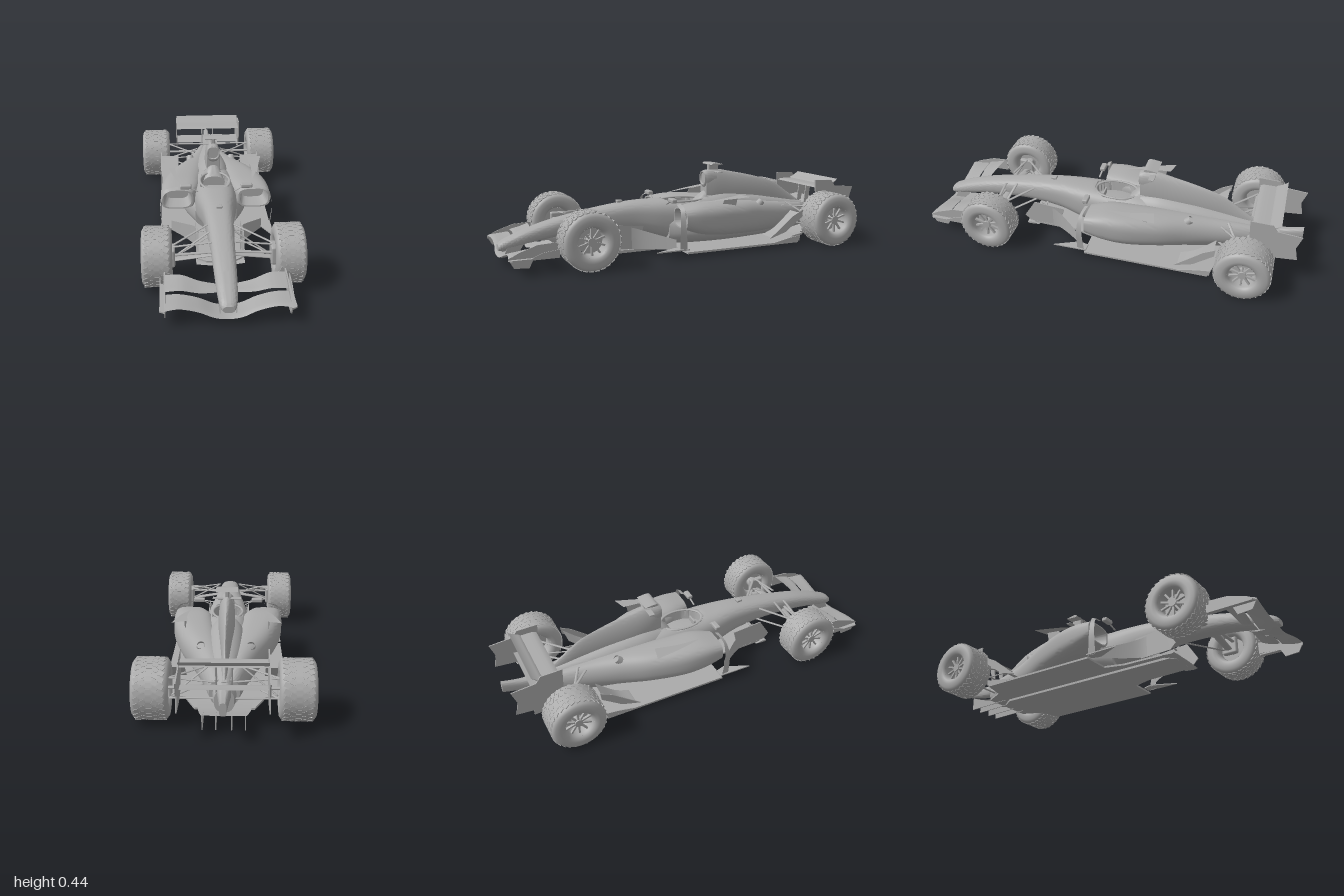
import * as THREE from 'three';
import { mergeGeometries, toCreasedNormals } from 'three/addons/utils/BufferGeometryUtils.js';
import { RoundedBoxGeometry } from 'three/addons/geometries/RoundedBoxGeometry.js';

const grey = new THREE.MeshStandardMaterial({ color: 0xaaaaaa, side: THREE.DoubleSide });
grey.name = 'plainGrey';
const V = (x, y, z) => new THREE.Vector3(x, y, z);

// smooth interpolation through a list of equal-length number rows
function sample(rows, n) {
  const out = [], last = rows.length - 1, at = i => rows[Math.min(last, Math.max(0, i))];
  for (let k = 0; k <= n; k++) {
    const f = k / n * last, i = Math.min(last - 1, Math.floor(f)), t = f - i;
    out.push(rows[0].map((_, c) => {
      const [a, b, d, e] = [at(i - 1)[c], at(i)[c], at(i + 1)[c], at(i + 2)[c]];
      return b + 0.5 * t * (d - a + t * (2 * a - 5 * b + 4 * d - e + t * (3 * (b - d) + e - a)));
    }));
  }
  return out;
}

// surface through rings of points; closed rings get end caps
function skin(rings, closed) {
  const m = rings[0].length, pos = [], idx = [];
  rings.flat().forEach(p => pos.push(p.x, p.y, p.z));
  for (let i = 0; i < rings.length - 1; i++) {
    for (let j = 0; j < (closed ? m : m - 1); j++) {
      const a = i * m + j, b = i * m + (j + 1) % m;
      idx.push(a, a + m, b, b, a + m, b + m);
    }
  }
  if (closed) {
    [0, rings.length - 1].forEach((r, end) => {
      const c = rings[r].reduce((s, p) => s.add(p), V(0, 0, 0)).divideScalar(m);
      const k = pos.push(c.x, c.y, c.z) / 3 - 1;
      for (let j = 0; j < m; j++) {
        const a = r * m + j, b = r * m + (j + 1) % m;
        idx.push(k, end ? b : a, end ? a : b);
      }
    });
  }
  const g = new THREE.BufferGeometry();
  g.setAttribute('position', new THREE.Float32BufferAttribute(pos, 3));
  g.setIndex(idx);
  return toCreasedNormals(g, 0.7);
}

// body shell from sections [z, halfWidth, bottom, top, roundness, centreX], front to back
function loft(sections, { n = 40, inlet = 0, rule } = {}) {
  const rows = sample(sections, n);
  const ring = ([z, w, yb, yt, e, cx = 0], k = 1, dz = 0) => Array.from({ length: 48 }, (_, j) => {
    const a = j / 48 * Math.PI * 2, c = Math.cos(a), s = Math.sin(a);
    const p = V(cx + k * w * Math.sign(c) * Math.abs(c) ** e,
      (yb + yt) / 2 + k * (yt - yb) / 2 * Math.sign(s) * Math.abs(s) ** Math.min(e, 1), z - dz);
    if (rule) rule(p, (yb + yt) / 2);
    return p;
  });
  const rings = rows.map(r => ring(r));
  if (inlet) rings.unshift(ring(rows[0], 0.7, inlet), ring(rows[0], 0.88));
  return skin(rings, true);
}

// aerofoil from stations [x, y, leadingZ, trailingZ, rise]
function wing(stations, thick = 0.006, n = 24) {
  return skin(sample(stations, n).map(([x, y, z0, z1, rise]) => Array.from({ length: 16 }, (_, j) => {
    const u = j <= 8 ? j / 8 : (16 - j) / 8;
    const t = thick * Math.sin(Math.PI * Math.sqrt(u)) * (j <= 8 ? 1 : -0.6);
    return V(x, y + rise * u ** 1.6 + t, z0 + (z1 - z0) * u);
  })), true);
}
const mirrored = half => [...half.slice(1).reverse().map(([x, ...r]) => [-x, ...r]), ...half];

function extrude(pts, t) {
  const shape = new THREE.Shape(pts.map(p => new THREE.Vector2(p[0], p[1])));
  return new THREE.ExtrudeGeometry(shape, { depth: t, bevelEnabled: false });
}
const upright = (pts, x, t = 0.006) => extrude(pts, t).rotateY(-Math.PI / 2).translate(x + t / 2, 0, 0); // [z, y]
const flat = (pts, y, t = 0.008) => extrude(pts, t).rotateX(Math.PI / 2).translate(0, y, 0); // [x, z]
// curved thin sheet between two edges of [x, y, z] points
function sheet(edgeA, edgeB, n = 14) {
  const a = sample(edgeA, n), b = sample(edgeB, n);
  return skin(a.map((p, i) => [V(...p), V(...b[i])]), false);
}
function rod(a, b, r = 0.005, flatness = 0.5) {
  const p = V(...a), d = V(...b).sub(p);
  const g = new THREE.CylinderGeometry(r, r, d.length(), 10).scale(1, 1, flatness);
  const x = d.clone().normalize(), side = V(0, 0, 1).addScaledVector(x, -x.z).normalize();
  g.applyMatrix4(new THREE.Matrix4().makeBasis(side, x, side.clone().cross(x)));
  return g.translate(...p.addScaledVector(d, 0.5).toArray());
}
const box = (w, h, d, x, y, z) => new RoundedBoxGeometry(w, h, d, 2, Math.min(w, h, d) * 0.3).translate(x, y, z);

// tyre, tread blocks, rim and spokes; axle along x, outer face toward +x
function wheelParts(h) {
  const half = [[0.074, h - 0.012], [0.082, h - 0.002], [0.1, h], [0.122, h - 0.002], [0.134, h - 0.01], [0.1395, h - 0.024], [0.1412, h - 0.04]];
  const pts = [...half.map(([r, y]) => [r, -y]), ...half.slice().reverse()].map(p => new THREE.Vector2(...p));
  const turn = g => g.rotateZ(-Math.PI / 2);
  const tread = [];
  for (let i = 0; i < 30; i++) {
    for (let k = -2; k <= 2; k++) {
      tread.push(new THREE.BoxGeometry(h * 0.29, 0.004, 0.022).rotateY(Math.sign(k) * 0.45)
        .translate(k * h * 0.32, 0.1402, 0).rotateX((i + Math.abs(k) * 0.4) / 30 * Math.PI * 2));
    }
  }
  const rimPts = [[0.074, h - 0.012], [0.068, h - 0.02], [0.064, 0.01], [0.068, -h + 0.02], [0.074, -h + 0.012]].reverse();
  const rim = [new THREE.LatheGeometry(rimPts.map(p => new THREE.Vector2(...p)), 40),
    new THREE.CylinderGeometry(0.02, 0.026, 0.035, 20).translate(0, h - 0.04, 0),
    new THREE.CylinderGeometry(0.063, 0.063, 0.03, 32).translate(0, -0.01, 0)].map(turn);
  for (let i = 0; i < 10; i++) {
    rim.push(new THREE.BoxGeometry(0.012, 0.05, 0.009).translate(h - 0.034, 0.043, 0).rotateX(i / 10 * Math.PI * 2));
  }
  return { tyre: turn(new THREE.LatheGeometry(pts, 64)), tread: mergeGeometries(tread), rim: mergeGeometries(rim) };
}

export function createModel() {
  const car = new THREE.Group();
  car.name = 'racingCar';
  const add = (name, geometry, parent = car) => {
    const m = new THREE.Mesh(geometry, grey);
    m.name = name;
    parent.add(m);
    return m;
  };

  // nose and tub, with the cockpit pressed into the top
  const sink = (p, mid) => {
    const d = Math.abs(p.x / 0.08) ** 2.4 + Math.abs(p.z / 0.12) ** 2.4;
    if (p.y > mid && d < 1) p.y = THREE.MathUtils.lerp(0.14, p.y, THREE.MathUtils.smoothstep(d, 0.8, 1));
  };
  add('noseAndTub', loft([
    [0.992, 0.026, 0.068, 0.1, 0.8], [0.97, 0.037, 0.068, 0.118, 0.8], [0.92, 0.044, 0.075, 0.14, 0.8], [0.86, 0.048, 0.088, 0.163, 0.8],
    [0.74, 0.053, 0.11, 0.198, 0.75], [0.6, 0.058, 0.122, 0.226, 0.72], [0.45, 0.068, 0.125, 0.25, 0.7],
    [0.3, 0.082, 0.11, 0.266, 0.7], [0.16, 0.104, 0.07, 0.268, 0.7], [0.02, 0.115, 0.03, 0.265, 0.7],
    [-0.12, 0.115, 0.03, 0.265, 0.75], [-0.24, 0.11, 0.03, 0.255, 0.9]], { n: 130, rule: sink }));
  add('cockpitRim', new THREE.TorusGeometry(1, 0.08, 10, 48).rotateX(Math.PI / 2).scale(0.08, 0.06, 0.12).translate(0, 0.255, 0));
  add('steeringWheel', box(0.06, 0.03, 0.01, 0, 0.225, 0.07));
  add('noseSensor', box(0.03, 0.012, 0.03, 0, 0.27, 0.36));

  // engine cover: low hump, tall thin fin and air intake
  add('engineCover', loft([
    [-0.14, 0.085, 0.1, 0.275, 1], [-0.25, 0.095, 0.1, 0.285, 1.1], [-0.42, 0.085, 0.1, 0.262, 1.1],
    [-0.58, 0.065, 0.1, 0.23, 1], [-0.77, 0.035, 0.1, 0.195, 1]]));
  add('engineFin', loft([
    [-0.135, 0.036, 0.2, 0.405, 0.8], [-0.2, 0.042, 0.18, 0.412, 1], [-0.3, 0.04, 0.15, 0.393, 1.2],
    [-0.45, 0.028, 0.15, 0.36, 1.4], [-0.58, 0.018, 0.15, 0.318, 1.4], [-0.68, 0.014, 0.15, 0.252, 1.2],
    [-0.76, 0.01, 0.12, 0.198, 1]], { n: 50 }));
  add('airIntake', loft([[-0.127, 0.034, 0.325, 0.4, 0.85], [-0.15, 0.037, 0.3, 0.408, 0.85], [-0.2, 0.035, 0.3, 0.41, 1]], { n: 6, inlet: 0.02 }));
  add('headrest', loft([[-0.08, 0.06, 0.15, 0.245, 0.8], [-0.13, 0.05, 0.15, 0.29, 1], [-0.2, 0.045, 0.15, 0.31, 1]], { n: 12 }));
  add('intakeWinglet', box(0.145, 0.004, 0.03, 0, 0.397, -0.2));
  add('cameraStalk', box(0.022, 0.04, 0.06, 0, 0.42, -0.19));
  add('cameraBar', wing([[-0.055, 0.438, -0.155, -0.23, 0.002], [0.055, 0.438, -0.155, -0.23, 0.002]], 0.009, 4));

  // floor, plank and diffuser
  const both = half => [...half, ...half.slice().reverse().map(([x, z]) => [-x, z])];
  add('floor', flat(both([[0.07, 0.48], [0.11, 0.45], [0.12, 0.2], [0.15, 0.1], [0.295, 0.1], [0.3, -0.56], [0.19, -0.59], [0.14, -0.7]]), 0.032, 0.01));
  add('plank', flat(both([[0.06, 0.47], [0.085, 0.44], [0.09, -0.6], [0.05, -0.66]]), 0.022, 0.012));
  add('splitterLip', wing([[-0.12, 0.02, 0.49, 0.42, 0], [0, 0.014, 0.5, 0.42, 0], [0.12, 0.02, 0.49, 0.42, 0]], 0.007));
  add('lowerBody', loft([[0.12, 0.11, 0.025, 0.2, 0.8], [-0.02, 0.17, 0.025, 0.2, 0.8], [-0.2, 0.18, 0.025, 0.18, 0.8],
    [-0.42, 0.13, 0.025, 0.17, 0.8], [-0.6, 0.08, 0.03, 0.17, 0.8], [-0.8, 0.045, 0.06, 0.17, 0.8]]));
  add('diffuser', sheet([[-0.13, 0.03, -0.62], [-0.12, 0.045, -0.75], [-0.1, 0.085, -0.88]], [[0.13, 0.03, -0.62], [0.12, 0.045, -0.75], [0.1, 0.085, -0.88]]));
  for (const x of [-0.095, -0.035, 0.035, 0.095]) add('diffuserFence', upright([[-0.62, 0.02], [-0.88, 0.015], [-0.88, 0.085], [-0.75, 0.045]], x, 0.005));
  add('tailStructure', loft([[-0.72, 0.04, 0.1, 0.195, 0.7], [-0.88, 0.022, 0.12, 0.185, 0.7], [-1, 0.016, 0.145, 0.205, 0.6]], { n: 12 }));

  // rear wing
  add('rearWingMain', wing([[-0.196, 0.296, -0.745, -0.855, 0.006], [0.196, 0.296, -0.745, -0.855, 0.006]], 0.007, 4));
  add('rearWingFlap', wing([[-0.196, 0.305, -0.83, -0.888, 0.034], [0.196, 0.305, -0.83, -0.888, 0.034]], 0.005, 4));
  add('rearBeamWing', wing([[-0.196, 0.19, -0.79, -0.88, 0.018], [0.196, 0.19, -0.79, -0.88, 0.018]], 0.006, 4));

  // front wing
  add('frontWingMain', wing(mirrored([[0, 0.04, 0.995, 0.9, 0.012], [0.06, 0.048, 0.995, 0.9, 0.014], [0.13, 0.072, 0.985, 0.895, 0.018], [0.21, 0.09, 0.985, 0.89, 0.016], [0.275, 0.088, 0.995, 0.89, 0.016]]), 0.007, 40));

  for (const s of [-1, 1]) {
    const side = new THREE.Group();
    side.name = s > 0 ? 'leftSide' : 'rightSide';
    car.add(side);
    const put = (name, g) => add(name, g, side);
    const X = pts => pts.map(([x, ...r]) => [s * x, ...r]);
    const bar = (name, a, b, r, f) => put(name, rod([s * a[0], a[1], a[2]], [s * b[0], b[1], b[2]], r, f));

    // sidepod with intake, tapering to the tail
    put('sidepod', loft([[0.1, 0.085, 0.14, 0.245, 0.6, 0.205], [0, 0.107, 0.105, 0.26, 0.65, 0.185],
      [-0.12, 0.11, 0.085, 0.257, 0.7, 0.168], [-0.28, 0.1, 0.07, 0.246, 0.8, 0.13], [-0.42, 0.08, 0.06, 0.23, 0.9, 0.09],
      [-0.56, 0.06, 0.06, 0.212, 1, 0.06], [-0.74, 0.035, 0.07, 0.19, 1, 0.035]].map(r => [...r.slice(0, 5), s * r[5]]), { inlet: 0.1 }));
    put('exhaust', new THREE.CylinderGeometry(0.019, 0.026, 0.05, 20, 1, true).rotateX(-0.8).translate(s * 0.122, 0.215, -0.415));
    put('mirror', box(0.06, 0.022, 0.03, s * 0.16, 0.278, 0.125));
    bar('mirrorStalk', [0.095, 0.25, 0.13], [0.14, 0.272, 0.125]);

    // winglets, vanes and flick-ups
    put('sidepodWinglet', sheet(X([[0.2, 0.262, 0], [0.21, 0.275, -0.12], [0.2, 0.29, -0.25]]), X([[0.205, 0.262, 0], [0.245, 0.275, -0.12], [0.28, 0.288, -0.27]])));
    put('wingletStalk', upright([[-0.13, 0.23], [-0.21, 0.2], [-0.23, 0.286], [-0.15, 0.276]], s * 0.215, 0.004));
    put('flickUp', sheet(X([[0.19, 0.06, -0.4], [0.19, 0.095, -0.48], [0.19, 0.18, -0.58]]), X([[0.295, 0.06, -0.4], [0.295, 0.095, -0.48], [0.295, 0.18, -0.58]])));
    put('flickUpPlate', upright([[-0.38, 0.055], [-0.48, 0.085], [-0.585, 0.16], [-0.59, 0.2], [-0.53, 0.17], [-0.44, 0.1]], s * 0.295, 0.005));
    put('floorFence', upright([[-0.4, 0.03], [-0.57, 0.03], [-0.575, 0.06], [-0.5, 0.05]], s * 0.297, 0.005));
    put('floorSpike', flat(X([[0.295, 0.27], [0.235, 0.14], [0.25, 0.09], [0.295, 0.09]]), 0.048, 0.006));
    put('hornVane', sheet(X([[0.285, 0.04, 0.14], [0.295, 0.16, 0.14], [0.27, 0.24, 0.13], [0.2, 0.262, 0.12]]), X([[0.29, 0.04, 0.1], [0.298, 0.16, 0.11], [0.275, 0.25, 0.11], [0.2, 0.268, 0.1]])));
    const path = [[0.105, 0.4], [0.125, 0.31], [0.17, 0.23], [0.24, 0.14]];
    put('bargeBoard', sheet(X(path.map(([x, z]) => [x, 0.035, z])), X(path.map(([x, z], i) => [x, 0.165 - i * 0.025, z]))));
    put('turningVane', upright([[0.5, 0.07], [0.47, 0.04], [0.3, 0.035], [0.27, 0.15], [0.44, 0.165]], s * 0.115, 0.005));
    bar('vaneBracket', [0.07, 0.15, 0.38], [0.117, 0.14, 0.38]);

    // front wing side parts
    put('frontWingFlap', wing(X([[0.045, 0.095, 0.87, 0.815, 0.012], [0.12, 0.1, 0.88, 0.81, 0.022], [0.2, 0.115, 0.88, 0.79, 0.028], [0.272, 0.112, 0.88, 0.785, 0.028]]), 0.005));
    put('frontEndplate', upright([[0.995, 0.085], [0.97, 0.04], [0.9, 0.035], [0.88, 0.075], [0.765, 0.085], [0.765, 0.145], [0.86, 0.14], [0.95, 0.11]], s * 0.272, 0.006));
    put('endplateFoot', flat(X([[0.27, 0.995], [0.295, 0.98], [0.295, 0.76], [0.27, 0.77]]), 0.082, 0.007));
    put('endplateFin', upright([[0.9, 0.08], [0.76, 0.08], [0.76, 0.115], [0.84, 0.105]], s * 0.293, 0.004));
    put('wingPylon', upright([[0.97, 0.045], [0.9, 0.05], [0.87, 0.1], [0.95, 0.09]], s * 0.036, 0.006));

    // rear wing side parts
    put('rearEndplate', upright([[-0.735, 0.34], [-0.845, 0.336], [-0.87, 0.302], [-0.995, 0.29], [-0.97, 0.22], [-0.985, 0.15], [-0.86, 0.14], [-0.78, 0.16], [-0.74, 0.24]], s * 0.197));
    put('rearWingPillar', upright([[-0.77, 0.15], [-0.795, 0.15], [-0.82, 0.297], [-0.79, 0.297]], s * 0.035));

    // suspension: [name, inner point, outer point, radius]
    [['frontUpperArm', [0.055, 0.215, 0.63], [0.25, 0.19, 0.62]], ['frontUpperArm', [0.065, 0.22, 0.46], [0.25, 0.19, 0.62]],
      ['frontLowerArm', [0.04, 0.155, 0.63], [0.25, 0.125, 0.62], 0.02], ['frontLowerArm', [0.06, 0.15, 0.45], [0.25, 0.125, 0.62]],
      ['frontPushrod', [0.062, 0.232, 0.56], [0.24, 0.125, 0.61]], ['steeringRod', [0.05, 0.17, 0.64], [0.25, 0.165, 0.65], 0.01],
      ['rearUpperArm', [0.04, 0.19, -0.76], [0.25, 0.2, -0.74]], ['rearUpperArm', [0.08, 0.19, -0.58], [0.25, 0.2, -0.74]],
      ['rearLowerArm', [0.03, 0.11, -0.76], [0.25, 0.1, -0.74]], ['rearLowerArm', [0.08, 0.1, -0.56], [0.25, 0.1, -0.74]],
      ['rearPushrod', [0.07, 0.21, -0.62], [0.24, 0.11, -0.73]], ['driveShaft', [0.03, 0.15, -0.735], [0.3, 0.15, -0.735], 0.012]]
      .forEach(([name, a, b, r]) => bar(name, a, b, r ?? 0.007, name === 'frontLowerArm' ? 0.3 : 0.5));
    bar('frontAxle', [0.235, 0.15, 0.62], [0.32, 0.15, 0.62], 0.03, 1);
    put('brakeDuct', box(0.03, 0.09, 0.08, s * 0.238, 0.15, 0.625));

    // wheels
    for (const [name, x, z, h] of [['frontWheel', 0.307, 0.622, 0.071], ['rearWheel', 0.327, -0.737, 0.084]]) {
      const wheel = new THREE.Group();
      wheel.name = name;
      wheel.position.set(s * x, 0.147, z);
      wheel.rotation.y = s > 0 ? 0 : Math.PI;
      for (const [part, g] of Object.entries(wheelParts(h))) add(part, g, wheel);
      side.add(wheel);
    }
  }
  return car;
}
